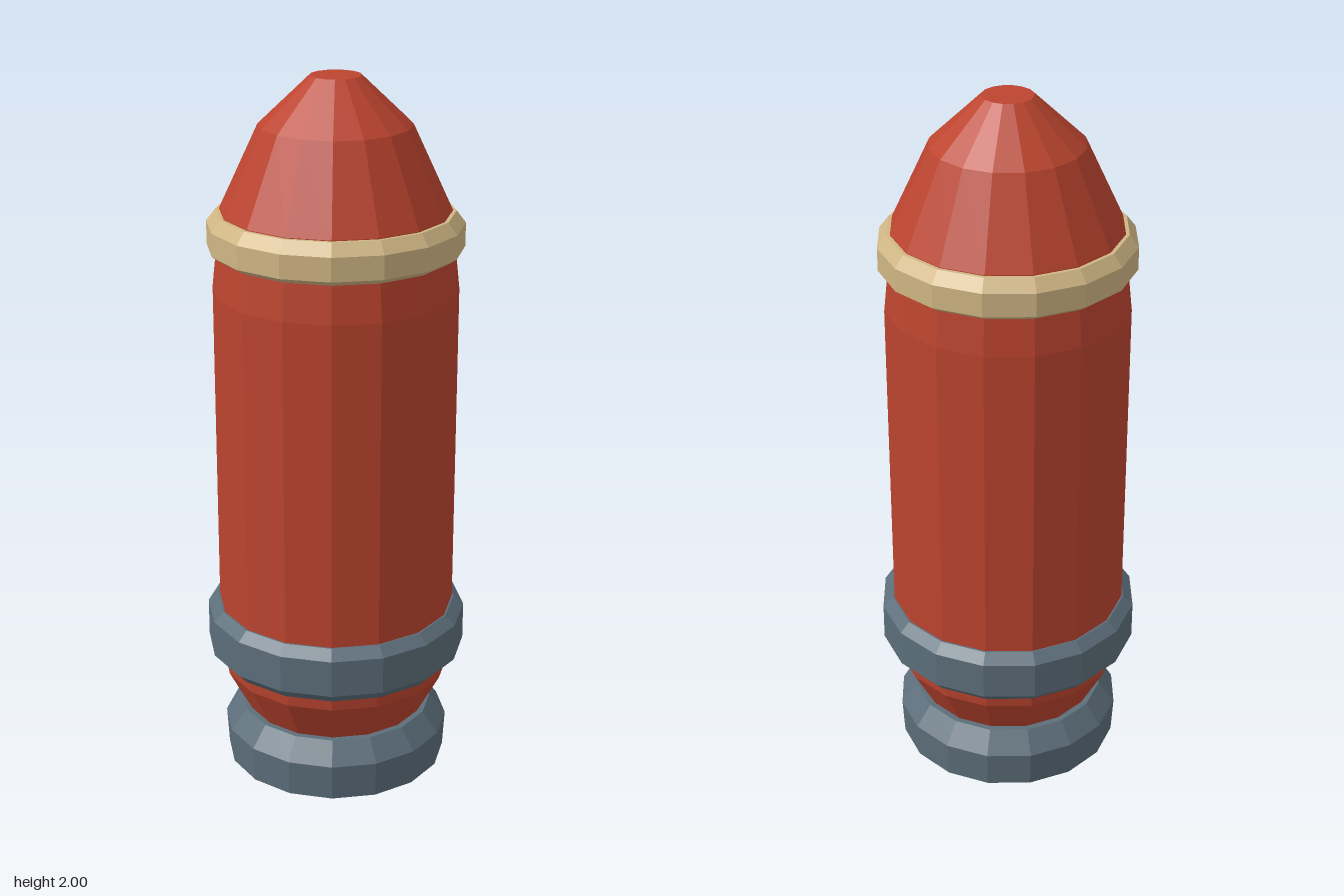
import * as THREE from 'three';

const SIDES = 16;

// Faceted turned part: profile is [flat-to-axis radius, height], listed from bottom to top
function turned(name, profile, material) {
  const k = 1 / Math.cos(Math.PI / SIDES);
  const points = profile.map(([r, y]) => new THREE.Vector2(r * k, y));
  const geometry = new THREE.LatheGeometry(points, SIDES, Math.PI / SIDES).toNonIndexed();
  geometry.computeVertexNormals(); // one normal per facet
  const mesh = new THREE.Mesh(geometry, material);
  mesh.name = name;
  return mesh;
}

function paint(name, color) {
  const material = new THREE.MeshStandardMaterial({ color });
  material.name = name;
  return material;
}

export function createModel() {
  const red = paint('red', 0xbc442f);
  const steel = paint('blue steel', 0x5c6e7a);
  const tan = paint('tan', 0xd0b684);
  const dark = paint('dark recess', 0x14262a);

  const model = new THREE.Group();
  model.name = 'shell';
  model.add(
    // Main casing, tapering at both ends
    turned('casing', [[0.25, 0.15], [0.255, 0.165], [0.32, 0.29], [0.33, 0.4], [0.33, 1.42], [0.317, 1.54]], red),
    // Blunt nose
    turned('nose', [[0.308, 1.6], [0.308, 1.64], [0.203, 1.87], [0.068, 2], [0, 2]], red),
    // Chamfered bands
    turned('noseBand', [[0.3, 1.525], [0.322, 1.525], [0.343, 1.54], [0.343, 1.605], [0.318, 1.638], [0.3, 1.638]], tan),
    turned('lowerBand', [[0.31, 0.328], [0.335, 0.328], [0.363, 0.358], [0.363, 0.465], [0.335, 0.492], [0.32, 0.492]], steel),
    // Base ring with an open recess
    turned('baseRing', [[0.215, 0.095], [0.215, 0], [0.312, 0], [0.318, 0.105], [0.272, 0.165], [0.24, 0.165]], steel),
    turned('recessFloor', [[0, 0.09], [0.216, 0.09]], dark),
  );
  return model;
}
